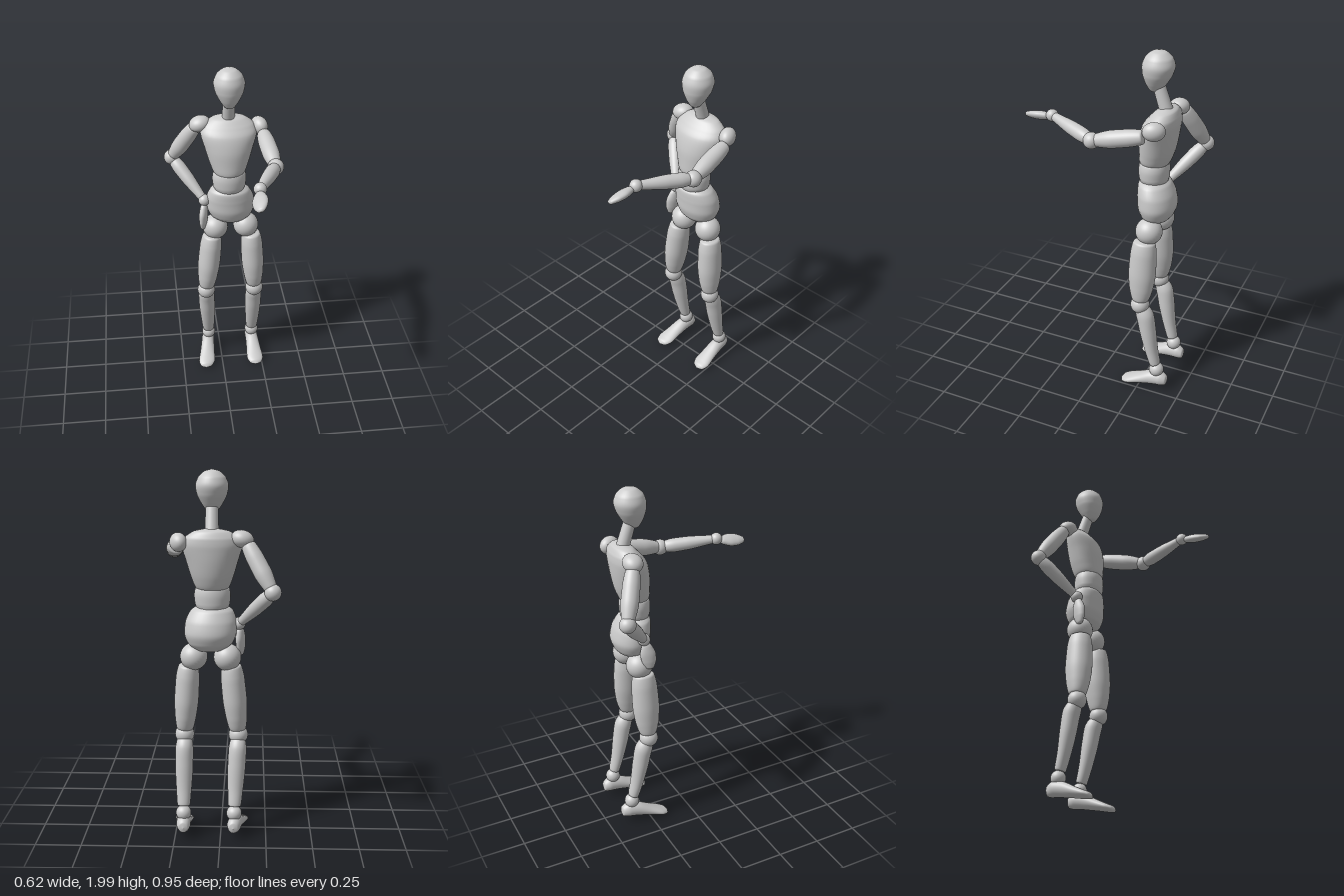
import * as THREE from 'three';

const material = new THREE.MeshStandardMaterial({ color: 0xcccccc });
const V = (p) => new THREE.Vector3(...p);

// Smooth closed skin over ellipses stacked along y: [cx, y, cz, rx, rz]
function loft(sections, around = 32, steps = 6) {
  const path = new THREE.CatmullRomCurve3(sections.map((s) => new THREE.Vector3(s[0], s[1], s[2])));
  const radii = new THREE.CatmullRomCurve3(sections.map((s) => new THREE.Vector3(s[3], s[4], 0)));
  const rows = (sections.length - 1) * steps;
  const pos = [];
  const index = [];
  for (let i = 0; i <= rows; i++) {
    const c = path.getPoint(i / rows);
    const r = radii.getPoint(i / rows);
    for (let j = 0; j < around; j++) {
      const a = (j / around) * Math.PI * 2;
      pos.push(c.x + Math.max(r.x, 0.001) * Math.cos(a), c.y, c.z + Math.max(r.y, 0.001) * Math.sin(a));
      if (i === rows) continue;
      const p = i * around + j;
      const q = i * around + ((j + 1) % around);
      index.push(p, p + around, q, q, p + around, q + around);
    }
  }
  const g = new THREE.BufferGeometry();
  g.setAttribute('position', new THREE.Float32BufferAttribute(pos, 3));
  g.setIndex(index);
  g.computeVertexNormals();
  return g;
}

export function createModel() {
  const model = new THREE.Group();
  model.name = 'posedMannequin';

  const add = (name, geometry) => {
    const m = new THREE.Mesh(geometry, material);
    m.name = name;
    model.add(m);
    return m;
  };

  const ball = (name, center, r, scale = [1, 1, 1]) => {
    const m = add(name, new THREE.SphereGeometry(r, 32, 20));
    m.position.set(...center);
    m.scale.set(...scale);
    return m;
  };

  // Limb from a to b; profile rows are [t, rx, rz, z offset]
  const limb = (name, a, b, profile, roll = 0) => {
    const dir = V(b).sub(V(a));
    const len = dir.length();
    const g = loft(profile.map(([t, rx, rz = rx, cz = 0]) => [0, t * len, cz, rx, rz]));
    const m = add(name, g.rotateY(roll));
    m.position.set(...a);
    m.quaternion.setFromUnitVectors(new THREE.Vector3(0, 1, 0), dir.normalize());
    return m;
  };

  // Head and neck
  add('head', loft([
    [0.045, 1.775, -0.245, 0, 0], [0.045, 1.782, -0.246, 0.025, 0.027],
    [0.045, 1.82, -0.25, 0.053, 0.055], [0.045, 1.87, -0.257, 0.078, 0.078],
    [0.045, 1.915, -0.262, 0.086, 0.086], [0.045, 1.96, -0.263, 0.071, 0.072],
    [0.045, 1.99, -0.263, 0.038, 0.038], [0.045, 2.0, -0.263, 0, 0],
  ]));
  limb('neck', [0.045, 1.64, -0.325], [0.045, 1.83, -0.26],
    [[0, 0], [0.02, 0.037], [0.5, 0.035], [0.98, 0.032], [1, 0]]);

  // Torso
  add('chest', loft([
    [0.045, 1.375, -0.253, 0, 0], [0.045, 1.383, -0.253, 0.085, 0.078],
    [0.045, 1.45, -0.265, 0.113, 0.094], [0.045, 1.53, -0.275, 0.136, 0.1],
    [0.045, 1.61, -0.29, 0.157, 0.093], [0.045, 1.655, -0.306, 0.142, 0.074],
    [0.045, 1.69, -0.315, 0.093, 0.048], [0.045, 1.71, -0.32, 0, 0],
  ]));
  add('waist', loft([
    [0.045, 1.255, -0.253, 0, 0], [0.045, 1.265, -0.253, 0.075, 0.068],
    [0.045, 1.3, -0.252, 0.093, 0.081], [0.045, 1.345, -0.252, 0.097, 0.083],
    [0.045, 1.385, -0.252, 0.089, 0.077], [0.045, 1.395, -0.252, 0, 0],
  ]));
  add('pelvis', loft([
    [0.06, 1.045, -0.28, 0, 0], [0.06, 1.055, -0.28, 0.07, 0.055],
    [0.057, 1.09, -0.28, 0.118, 0.088], [0.055, 1.15, -0.28, 0.139, 0.105],
    [0.052, 1.21, -0.272, 0.136, 0.1], [0.047, 1.265, -0.258, 0.113, 0.085],
    [0.045, 1.287, -0.255, 0.08, 0.06], [0.045, 1.292, -0.255, 0, 0],
  ]));

  // Legs
  const legs = [
    { side: 'right', hip: [-0.035, 1.01, -0.268], top: [-0.055, 0.975, -0.255], knee: [-0.095, 0.565, -0.248],
      ankle: [-0.075, 0.145, -0.355], heel: -0.071, toe: -0.108 },
    { side: 'left', hip: [0.145, 1.013, -0.268], top: [0.175, 0.975, -0.255], knee: [0.2, 0.565, -0.245],
      ankle: [0.203, 0.145, -0.355], heel: 0.202, toe: 0.21 },
  ];
  for (const { side, hip, top, knee, ankle, heel, toe } of legs) {
    ball(side + 'Hip', hip, 0.074);
    limb(side + 'Thigh', knee, top, [
      [0.06, 0], [0.08, 0.044, 0.046], [0.25, 0.058, 0.067], [0.5, 0.066, 0.077],
      [0.8, 0.064, 0.073], [0.96, 0.052, 0.06], [1, 0],
    ]);
    ball(side + 'Knee', knee, 0.053);
    limb(side + 'Shin', ankle, knee, [
      [0.08, 0], [0.09, 0.034, 0.03], [0.3, 0.042, 0.037], [0.6, 0.049, 0.047, -0.008],
      [0.82, 0.049, 0.05, -0.014], [0.95, 0.038, 0.038, -0.006], [0.98, 0],
    ]);
    ball(side + 'Ankle', ankle, 0.042);

    // Foot rows: z, underside y, top y, half width
    const rows = [
      [-0.423, 0.08, 0.08, 0], [-0.415, 0.052, 0.11, 0.026], [-0.38, 0.043, 0.13, 0.039],
      [-0.32, 0.036, 0.121, 0.041], [-0.25, 0.025, 0.088, 0.046], [-0.19, 0.014, 0.06, 0.051],
      [-0.155, 0.01, 0.044, 0.037], [-0.138, 0.022, 0.022, 0],
    ];
    add(side + 'Foot', loft(rows.map(([z, lo, hi, w]) => [
      THREE.MathUtils.lerp(heel, toe, (z + 0.42) / 0.28), z, -(lo + hi) / 2, w, (hi - lo) / 2,
    ])).rotateX(Math.PI / 2));
  }

  // Arms
  const upperArm = [[0.03, 0], [0.05, 0.036], [0.3, 0.046], [0.6, 0.047], [0.88, 0.036], [0.95, 0.03], [0.97, 0]];
  const forearm = [[0.06, 0], [0.08, 0.031], [0.25, 0.039], [0.5, 0.037], [0.8, 0.028], [0.96, 0.022], [0.98, 0]];
  const hand = [[0, 0], [0.06, 0.02, 0.012], [0.3, 0.039, 0.021], [0.55, 0.043, 0.024],
    [0.85, 0.028, 0.02], [0.97, 0.014, 0.012], [1, 0]];

  // Left arm reaches forward
  const leftElbow = [0.265, 1.545, 0.012];
  const leftWrist = [0.14, 1.587, 0.302];
  ball('leftShoulder', [0.218, 1.632, -0.312], 0.05, [0.88, 1, 1.2]).rotation.y = 0.4;
  limb('leftUpperArm', [0.235, 1.605, -0.275], leftElbow, upperArm);
  ball('leftElbow', leftElbow, 0.044);
  limb('leftForearm', leftElbow, leftWrist, forearm);
  ball('leftWrist', leftWrist, 0.034);
  limb('leftHand', [0.121, 1.56, 0.475], [0.135, 1.578, 0.315], hand, 0).rotateY(-0.55);

  // Right arm rests on the hip
  const rightElbow = [-0.27, 1.395, -0.432];
  const rightWrist = [-0.098, 1.195, -0.265];
  ball('rightShoulder', [-0.112, 1.652, -0.325], 0.055, [1.1, 0.82, 0.97]).rotation.z = 0.25;
  limb('rightUpperArm', [-0.135, 1.635, -0.335], rightElbow, upperArm);
  ball('rightElbow', rightElbow, 0.044);
  limb('rightForearm', rightElbow, rightWrist, forearm);
  ball('rightWrist', rightWrist, 0.034);
  limb('rightHand', [-0.11, 1.012, -0.235], [-0.1, 1.18, -0.255], hand, 1.2);

  return model;
}
